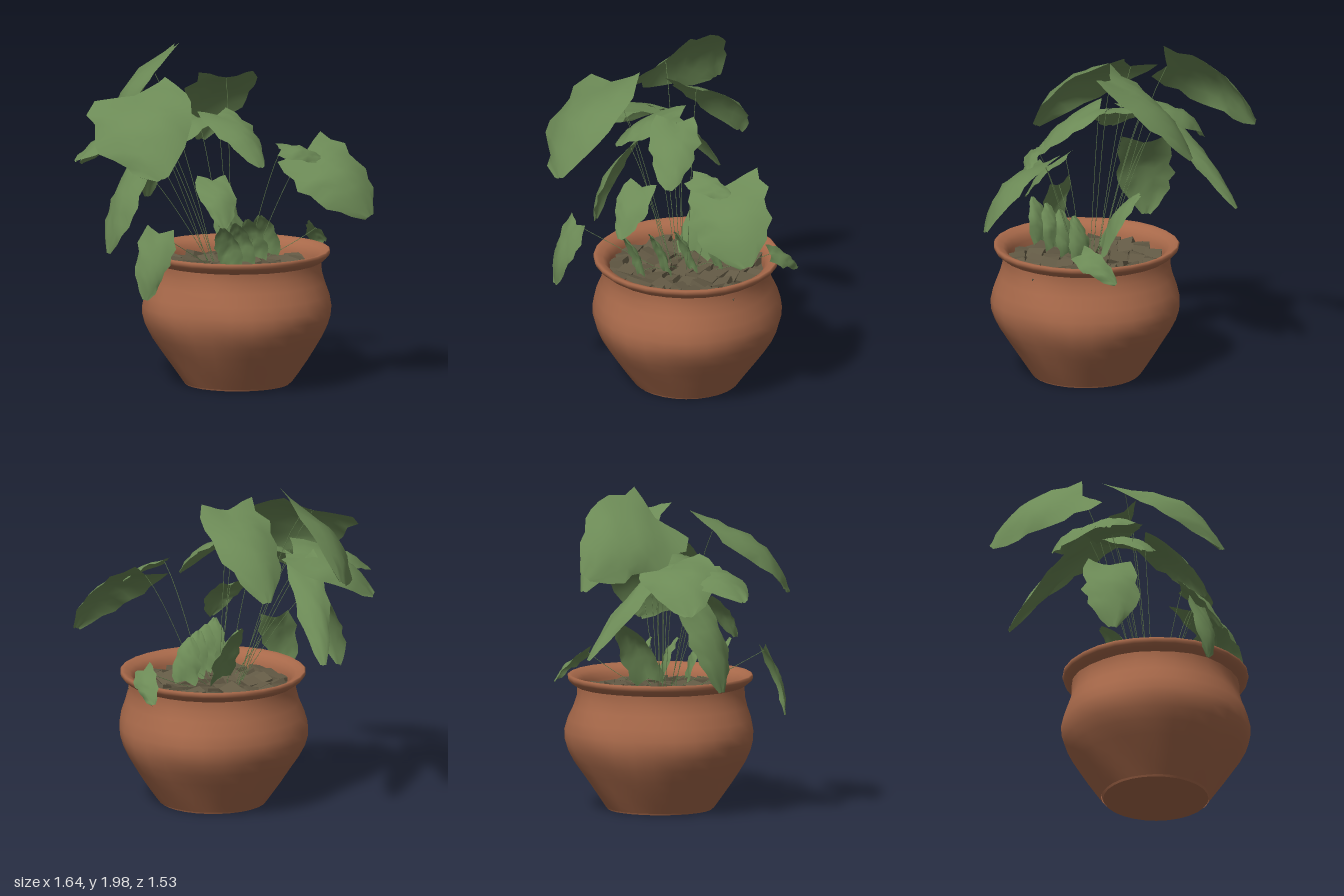
import * as THREE from 'three';
import { mergeVertices } from 'three/addons/utils/BufferGeometryUtils.js';

const UP = new THREE.Vector3(0, 1, 0);

function seeded(seed) {
  return () => {
    seed = (seed * 16807) % 2147483647;
    return seed / 2147483647;
  };
}

// A leaf blade: cross-sections along an arched midrib, with ragged edges.
// The blade lies level across unless rolled about its midrib.
function leafGeometry(base, tip, width, roll, rand) {
  const axis = tip.clone().sub(base);
  const along = axis.clone().normalize();
  const across = axis.clone().cross(UP).normalize().applyAxisAngle(along, roll);
  const normal = across.clone().cross(along);
  const rows = 9, cols = 6;
  const pos = [], index = [];
  for (let i = 0; i <= rows; i++) {
    const u = i / rows;
    const half = 0.5 * width * Math.sin(Math.PI * (0.12 + 0.86 * u) ** 0.7) ** 0.6;
    for (let j = 0; j <= cols; j++) {
      const v = (2 * j) / cols - 1, s = Math.abs(v);
      const jag = s === 1 ? 0.84 + rand() * 0.28 : 1;
      const lobe = -0.1 * s * (1 - u) ** 4;
      const arch = 0.2 * width * Math.sin(Math.PI * u) * (1 - 0.7 * s * s);
      const p = base.clone().addScaledVector(axis, u + lobe)
        .addScaledVector(across, v * half * jag)
        .addScaledVector(normal, arch + (rand() - 0.5) * 0.015);
      pos.push(p.x, p.y, p.z);
      if (i < rows && j < cols) {
        const k = i * (cols + 1) + j, n = k + cols + 1;
        index.push(k, k + 1, n, k + 1, n + 1, n);
      }
    }
  }
  const g = new THREE.BufferGeometry();
  g.setAttribute('position', new THREE.Float32BufferAttribute(pos, 3));
  g.setIndex(index);
  g.computeVertexNormals();
  return g;
}

// A turned shape with hand-made unevenness and no seam
function unevenLathe(points, wobble) {
  const curve = new THREE.SplineCurve(points.map(([r, y]) => new THREE.Vector2(r, y)));
  const turned = new THREE.LatheGeometry(curve.getPoints(12), 28);
  turned.deleteAttribute('uv');
  turned.deleteAttribute('normal');
  const g = mergeVertices(turned);
  const p = g.attributes.position;
  for (let i = 0; i < p.count; i++) {
    const x = p.getX(i), y = p.getY(i), z = p.getZ(i), a = Math.atan2(z, x);
    const k = 1 + wobble * (Math.sin(3 * a + 9 * y) + 0.7 * Math.sin(7 * a - 14 * y));
    p.setXYZ(i, x * k, y, z * k);
  }
  g.computeVertexNormals();
  return g;
}

export function createModel() {
  const group = new THREE.Group();
  const rand = seeded(4127);
  const clay = new THREE.MeshStandardMaterial({ color: 0xa8694a, side: THREE.DoubleSide });
  clay.name = 'terracotta';
  const earth = new THREE.MeshStandardMaterial({ color: 0x635a45, flatShading: true });
  earth.name = 'soil';
  const green = new THREE.MeshStandardMaterial({ color: 0x6c8a56, side: THREE.DoubleSide });
  green.name = 'leafGreen';
  const add = (parent, name, geometry, material) => {
    const m = new THREE.Mesh(geometry, material);
    m.name = name;
    parent.add(m);
    return m;
  };

  // Pot, with the soil measured from its own axis
  const pot = new THREE.Group();
  pot.name = 'pot';
  pot.position.set(0.1, 0, 0.205);
  group.add(pot);
  add(pot, 'body', unevenLathe([[0.32, 0.01], [0.43, 0.17], [0.535, 0.34], [0.557, 0.48], [0.5, 0.65], [0.495, 0.745]], 0.008), clay);
  add(pot, 'rim', unevenLathe([[0.48, 0.72], [0.54, 0.765], [0.54, 0.8], [0.47, 0.76], [0.45, 0.66]], 0.005), clay);
  const base = add(pot, 'base', new THREE.CylinderGeometry(0.32, 0.31, 0.02, 28), clay);
  base.position.y = 0.01;

  // Soil bed and broken clods
  const bed = add(pot, 'soilBed', new THREE.CylinderGeometry(0.465, 0.45, 0.04, 28), earth);
  bed.position.y = 0.675;
  const clods = new THREE.Group();
  clods.name = 'clods';
  pot.add(clods);
  const clodShape = new THREE.BoxGeometry(0.1, 0.05, 0.1);
  for (let i = -4; i <= 4; i++) {
    for (let j = -4; j <= 4; j++) {
      const x = i * 0.098 + (rand() - 0.5) * 0.03, z = j * 0.098 + (rand() - 0.5) * 0.03;
      if (Math.hypot(x, z) > 0.43) continue;
      const clod = add(clods, 'clod', clodShape, earth);
      clod.position.set(x, 0.69 + rand() * 0.015, z);
      clod.rotation.set((rand() - 0.5) * 0.7, (rand() - 0.5) * 0.5, (rand() - 0.5) * 0.7);
    }
  }

  // One leaf from base to tip, with a thin curved stem from the soil
  const foliage = new THREE.Group();
  foliage.name = 'foliage';
  group.add(foliage);
  const leaf = (name, from, to, width, roll = 0) => {
    const start = new THREE.Vector3(...from), tip = new THREE.Vector3(...to);
    add(foliage, name, leafGeometry(start, tip, width, roll, rand), green);
    const root = new THREE.Vector3(0.06 + start.x * 0.25, 0.7, 0.15 + start.z * 0.25);
    const bend = root.clone().lerp(start, 0.65).setY(Math.max(start.y * 0.9, 0.8));
    const path = new THREE.QuadraticBezierCurve3(root, bend, start);
    add(foliage, name + 'Stem', new THREE.TubeGeometry(path, 8, 0.002, 3), green);
  };

  // Upper leaves
  leaf('topBackLeaf', [-0.25, 1.8, -0.22], [-0.19, 1.5, -0.76], 0.54, -0.8);
  leaf('highCentreLeaf', [0.09, 1.8, 0.06], [0.13, 1.35, -0.43], 0.43);
  leaf('lowerBackLeaf', [-0.28, 1.5, -0.18], [-0.12, 0.99, -0.66], 0.22);
  leaf('backRightLeaf', [-0.28, 1.52, -0.08], [-0.66, 1.27, -0.36], 0.46, 0.18);
  leaf('outerRightLeaf', [-0.42, 1.48, -0.05], [-0.82, 1.34, -0.06], 0.34, 0.1);
  leaf('bigFrontRightLeaf', [-0.48, 1.72, 0.03], [-0.54, 1.32, 0.6], 0.62, 0.4);
  leaf('innerLeaf', [-0.06, 1.56, -0.02], [-0.4, 1.38, 0.14], 0.32);
  leaf('frontCentreLeaf', [0, 1.6, 0.14], [0.13, 1.33, 0.5], 0.3);
  leaf('frontLeftLeaf', [0.45, 1.38, 0.4], [0.74, 1.03, 0.7], 0.5, 0.45);
  leaf('frontLeftLeafNeck', [0.27, 1.42, 0.47], [0.55, 1.34, 0.48], 0.14, 0.6);

  // Lower leaves
  leaf('droopingFrontLeaf', [-0.5, 0.97, 0.46], [-0.61, 0.59, 0.52], 0.22, -0.45);
  leaf('droopingSideLeaf', [-0.4, 1.28, -0.06], [-0.62, 0.78, -0.04], 0.34);
  leaf('smallFrontLeaf', [-0.12, 1.25, 0.36], [-0.14, 1, 0.6], 0.22);
  leaf('lowBackLeaf', [0.1, 0.78, 0.1], [0.12, 1.12, -0.12], 0.24, 0.4);
  leaf('rimLeaf', [0.62, 0.88, 0.15], [0.69, 0.73, -0.07], 0.15, 0.7);

  // Young sprouts spread over the front of the soil
  for (let i = 0; i < 4; i++) {
    const x = 0.3 - i * 0.12, z = 0.2 + i * 0.1;
    leaf('sprout', [x, 0.76, z], [x - 0.08, 1, z + 0.06], 0.16, 0.3);
  }
  return group;
}
